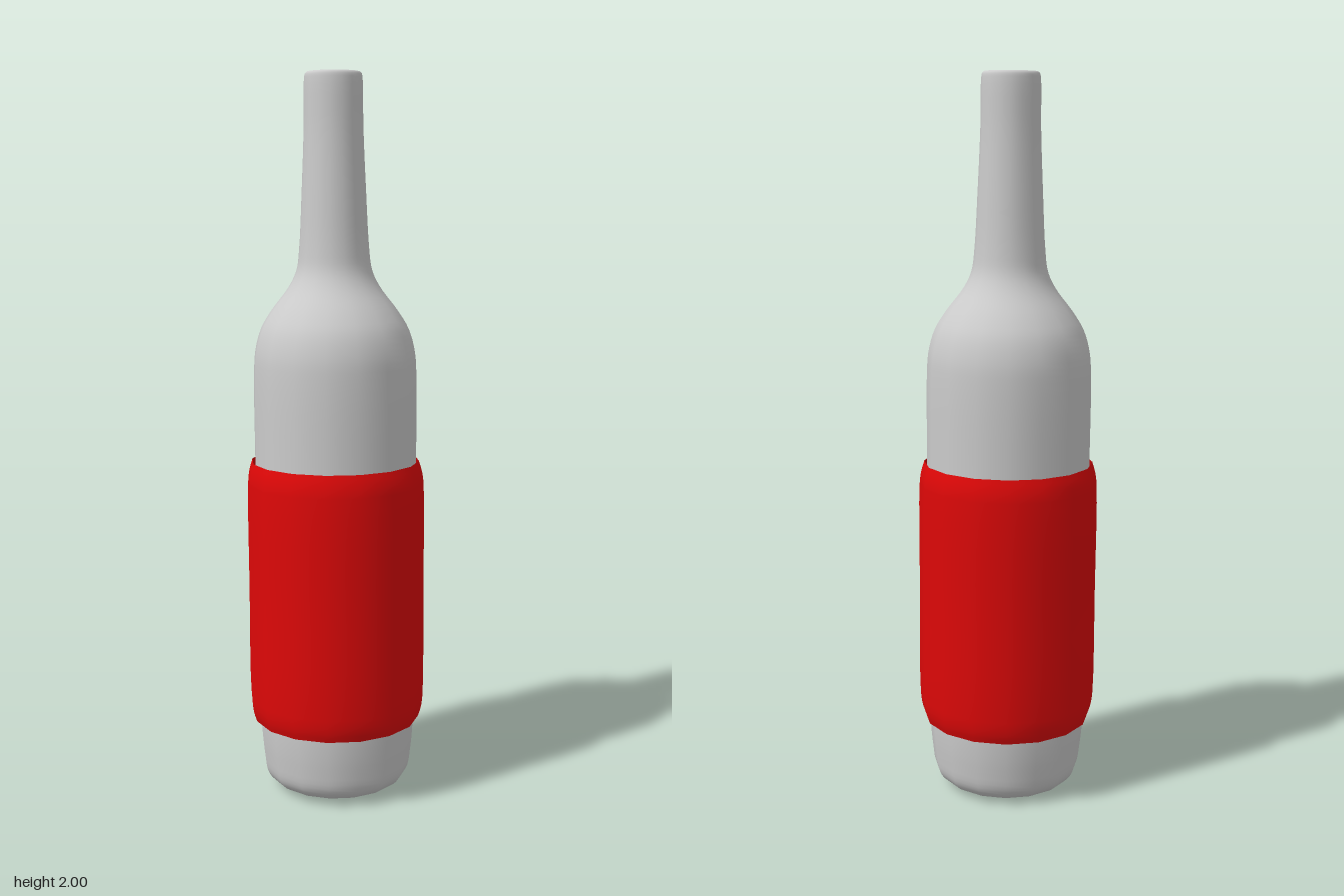
import * as THREE from 'three';

const SIDES = 16;

// Revolve a smooth curve through [radius, height] points
function lathe(name, points, samples, material) {
  const curve = new THREE.CatmullRomCurve3(
    points.map(([r, y]) => new THREE.Vector3(r, y, 0)), false, 'centripetal');
  const profile = curve.getPoints(samples).map(p => new THREE.Vector2(Math.max(p.x, 0), p.y));
  const mesh = new THREE.Mesh(new THREE.LatheGeometry(profile, SIDES), material);
  mesh.name = name;
  return mesh;
}

export function createModel() {
  const glass = new THREE.MeshStandardMaterial({ color: 0xcccccc, side: THREE.DoubleSide });
  const red = new THREE.MeshStandardMaterial({ color: 0xdd0808, side: THREE.DoubleSide });

  const bottle = new THREE.Group();
  bottle.name = 'bottle';

  // Base, body, shoulder and neck up to the rounded lip
  bottle.add(lathe('bottleBody', [
    [0, 0], [0.14, 0.003], [0.18, 0.018], [0.202, 0.045], [0.212, 0.1], [0.22, 0.2],
    [0.224, 0.6], [0.226, 0.95], [0.226, 1.18], [0.221, 1.25], [0.204, 1.31],
    [0.174, 1.36], [0.125, 1.425], [0.104, 1.47], [0.096, 1.53], [0.088, 1.68],
    [0.081, 1.85], [0.079, 1.98], [0.076, 1.993], [0.07, 1.997], [0.064, 1.992], [0.061, 1.975],
  ], 80, glass));

  // Inside of the neck, closed by a floor
  const bore = new THREE.Mesh(
    new THREE.CylinderGeometry(0.061, 0.063, 0.275, SIDES, 1, true), glass);
  bore.name = 'neckBore';
  bore.position.y = 1.8375;
  const floor = new THREE.Mesh(new THREE.CircleGeometry(0.063, SIDES), glass);
  floor.name = 'neckFloor';
  floor.rotation.x = -Math.PI / 2;
  floor.position.y = 1.7;
  bottle.add(bore, floor);

  // Loose wrap-around label with edges turned slightly inward
  bottle.add(lathe('label', [
    [0.234, 0.2], [0.242, 0.225], [0.247, 0.265], [0.248, 0.57],
    [0.247, 0.88], [0.242, 0.915], [0.234, 0.942],
  ], 24, red));

  // The whole bottle leans very slightly
  bottle.rotation.set(-0.013, 0, 0.013);
  bottle.position.set(0.007, 0.002, 0.007);

  const model = new THREE.Group();
  model.add(bottle);
  return model;
}
